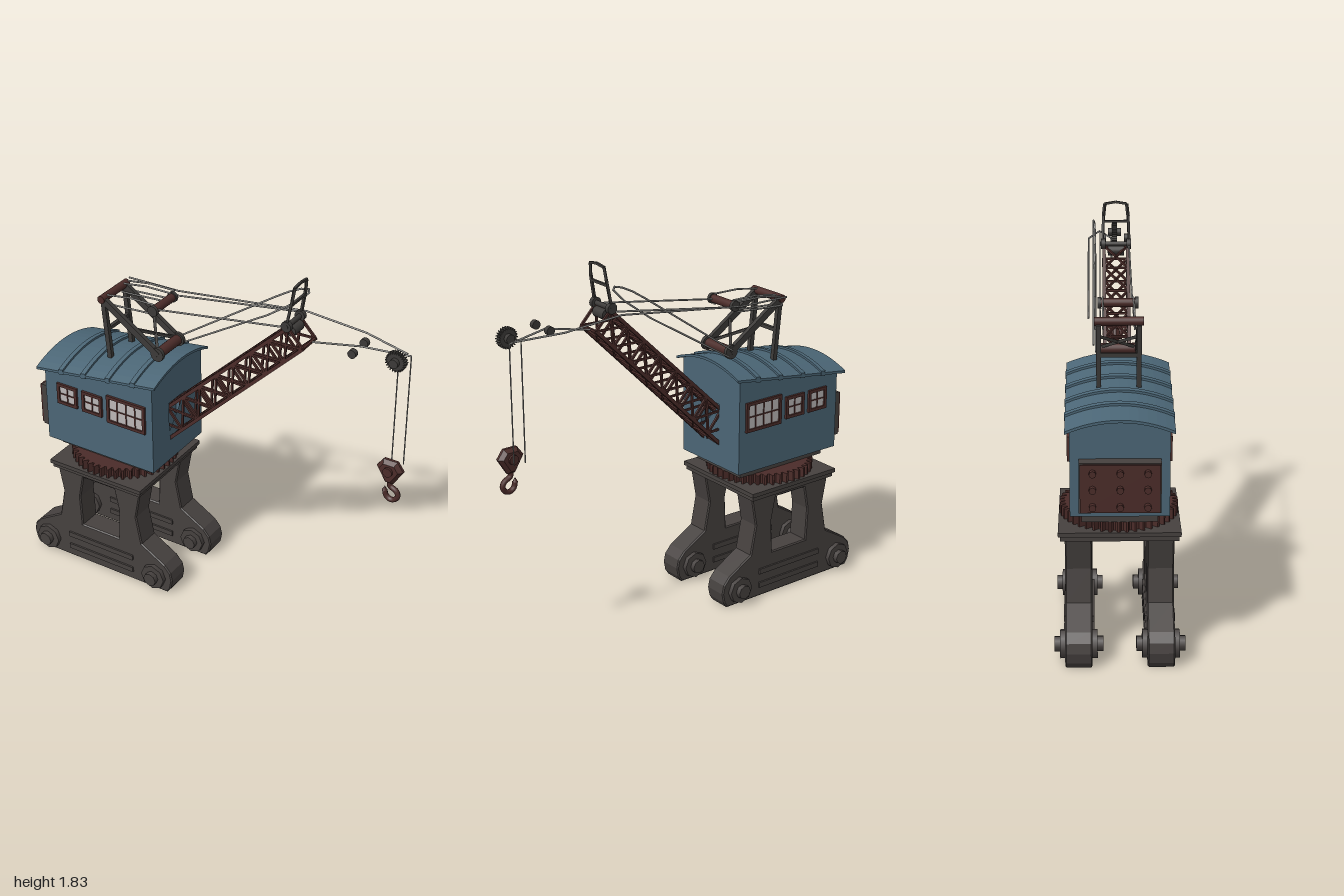
import * as THREE from 'three';

const mat = (name, color) => Object.assign(new THREE.MeshStandardMaterial({ color }), { name });

export function createModel() {
  const M = {
    blue: mat('cabin blue', 0x4b6676),
    iron: mat('dark iron', 0x46413f),
    red: mat('rust red', 0x4b2c29),
    steel: mat('frame steel', 0x3c3a38),
    rope: mat('rope grey', 0x868684),
    glass: mat('window glass', 0xbbb7b7),
  };
  const root = new THREE.Group();
  root.name = 'harborCrane';
  const V = (x, y, z) => new THREE.Vector3(x, y, z);
  const group = (name) => { const g = new THREE.Group(); g.name = name; root.add(g); return g; };
  const add = (parent, name, geo, m, x = 0, y = 0, z = 0) => {
    const mesh = new THREE.Mesh(geo, m);
    mesh.name = name;
    mesh.position.set(x, y, z);
    parent.add(mesh);
    return mesh;
  };
  const box = (p, name, m, x0, x1, y0, y1, z0, z1) =>
    add(p, name, new THREE.BoxGeometry(x1 - x0, y1 - y0, z1 - z0), m, (x0 + x1) / 2, (y0 + y1) / 2, (z0 + z1) / 2);
  // any z-aligned geometry laid between two points
  const span = (p, name, m, geo, a, b) => {
    const mesh = add(p, name, geo, m);
    mesh.position.addVectors(a, b).multiplyScalar(0.5);
    mesh.lookAt(b);
  };
  const bar = (p, name, m, a, b, w, h = w) => span(p, name, m, new THREE.BoxGeometry(w, h, a.distanceTo(b)), a, b);
  const rod = (r, len, sides) => new THREE.CylinderGeometry(r, r, len, sides).rotateX(Math.PI / 2);
  const disc = (p, name, m, x, y, z, r, len, sides = 16) => add(p, name, rod(r, len, sides), m, x, y, z);
  const shape = (pts) => new THREE.Shape(pts.map(([x, y]) => new THREE.Vector2(x, y)));
  const gear = (r, inner, teeth, depth) => {
    const pts = [];
    for (let i = 0; i < teeth * 4; i++) {
      const a = (i / (teeth * 4)) * Math.PI * 2, q = i % 4 < 2 ? r : inner;
      pts.push([Math.cos(a) * q, Math.sin(a) * q]);
    }
    return new THREE.ExtrudeGeometry(shape(pts), { depth, bevelEnabled: false }).translate(0, 0, -depth / 2);
  };

  // ---- Portal legs (outline counter-clockwise, opening clockwise)
  const CX = -0.565;
  const half = [[0.255, 0.56], [0.225, 0.4], [0.255, 0.245], [0.39, 0.165], [0.425, 0.125], [0.435, 0.08], [0.425, 0.03], [0.405, 0]];
  const outline = [...half, ...half.map(([x, y]) => [-x, y]).reverse()].reverse();
  const hole = [[0.095, 0.525], [0.12, 0.4], [0.112, 0.228]];
  for (const s of [1, -1]) {
    const leg = group(s > 0 ? 'leftLeg' : 'rightLeg');
    const sh = shape(outline);
    sh.holes.push(new THREE.Path([...hole, ...hole.map(([x, y]) => [-x, y]).reverse()].map((q) => new THREE.Vector2(...q))));
    const geo = new THREE.ExtrudeGeometry(sh, { depth: 0.11, bevelThickness: 0.006, bevelSize: 0.006, bevelOffset: -0.006, bevelSegments: 1 });
    add(leg, 'legFrame', geo.translate(0, 0, -0.055), M.iron, CX, 0, s * 0.184);
    for (const side of [1, -1]) {
      for (const dx of [-0.33, 0.33]) {
        disc(leg, 'boltFlange', M.iron, CX + dx, 0.08, s * 0.184 + side * 0.07, 0.068, 0.028, 8);
        disc(leg, 'boltHub', M.iron, CX + dx, 0.08, s * 0.184 + side * 0.092, 0.036, 0.036, 8);
      }
      for (const y of [0.065, 0.14])
        box(leg, 'footRib', M.iron, CX - 0.2, CX + 0.2, y - 0.014, y + 0.014, s * 0.184 + side * 0.064 - 0.006, s * 0.184 + side * 0.064 + 0.006);
    }
  }

  // ---- Platform and slewing ring
  const base = group('platform');
  box(base, 'lowerPlate', M.iron, CX - 0.265, CX + 0.265, 0.55, 0.573, -0.265, 0.265);
  box(base, 'upperPlate', M.iron, CX - 0.275, CX + 0.275, 0.573, 0.594, -0.275, 0.275);
  add(base, 'slewingGear', gear(0.272, 0.247, 44, 0.05).rotateX(Math.PI / 2), M.red, CX, 0.62, 0);
  box(base, 'turntable', M.iron, CX - 0.27, CX + 0.27, 0.645, 0.692, -0.17, 0.17);

  // ---- Cabin with curved sloping roof
  const cabin = group('cabin');
  const ridge = (x) => 1.245 + 0.137 * (x + 0.215);
  // slab following the roof curve; bottom null means it reaches the cabin floor
  const arched = (x0, x1, w, top, bottom, slot) => {
    const arc = (off) => Array.from({ length: 13 }, (_, i) => {
      const z = -w + (2 * w * i) / 12;
      return [z, off - 0.052 * (z / 0.24) ** 2];
    });
    const low = bottom === null ? [[w, -9], [-w, -9]] : arc(bottom).reverse();
    const sh = shape([...arc(top), ...low].reverse());
    if (slot) sh.holes.push(new THREE.Path(slot.map((q) => new THREE.Vector2(...q))));
    const geo = new THREE.ExtrudeGeometry(sh, { depth: x1 - x0, bevelEnabled: false });
    geo.rotateY(Math.PI / 2).translate(x0, 0, 0);
    const p = geo.attributes.position;
    for (let i = 0; i < p.count; i++) p.setY(i, p.getY(i) < -5 ? 0.69 : p.getY(i) + ridge(p.getX(i)));
    geo.computeVertexNormals();
    return geo;
  };
  const slot = [[-0.074, -0.455], [-0.074, -0.225], [0.074, -0.225], [0.074, -0.455]];
  add(cabin, 'cabinBody', arched(-0.88, -0.3, 0.22, -0.008, null), M.blue);
  add(cabin, 'cabinFrontWall', arched(-0.3, -0.242, 0.22, -0.008, null, slot), M.blue);
  add(cabin, 'roof', arched(-0.918, -0.213, 0.24, 0, -0.013), M.blue);
  for (const x of [-0.765, -0.63, -0.485, -0.34]) add(cabin, 'roofRib', arched(x - 0.013, x + 0.013, 0.242, 0.011, -0.016), M.blue);

  // windows: glass sheet, frame and glazing bars on both sides
  const windows = [[-0.797, -0.693, 0.928, 1.027, 2], [-0.647, -0.543, 0.928, 1.027, 2], [-0.497, -0.288, 0.913, 1.05, 4]];
  for (const s of [1, -1]) for (const [x0, x1, y0, y1, cols] of windows) {
    const w = new THREE.Group();
    w.name = 'window';
    cabin.add(w);
    const zb = (d) => (s > 0 ? [0.219, 0.22 + d] : [-0.22 - d, -0.219]);
    box(w, 'glass', M.glass, x0, x1, y0, y1, ...zb(0.004));
    for (const x of [x0, x1]) box(w, 'frameSide', M.red, x - 0.008, x + 0.008, y0 - 0.008, y1 + 0.008, ...zb(0.012));
    for (const y of [y0, y1]) box(w, 'frameRail', M.red, x0, x1, y - 0.008, y + 0.008, ...zb(0.012));
    box(w, 'glazingBar', M.red, x0, x1, (y0 + y1) / 2 - 0.003, (y0 + y1) / 2 + 0.003, ...zb(0.008));
    for (let i = 1; i < cols; i++) {
      const x = x0 + ((x1 - x0) * i) / cols;
      box(w, 'glazingBar', M.red, x - 0.003, x + 0.003, y0, y1, ...zb(0.008));
    }
  }

  // counterweight with bolts
  const weight = group('counterweight');
  box(weight, 'weightBlock', M.iron, -0.94, -0.87, 0.73, 0.96, -0.18, 0.18);
  box(weight, 'weightPlate', M.red, -0.952, -0.935, 0.735, 0.955, -0.175, 0.175);
  for (const y of [0.765, 0.845, 0.92]) for (const z of [-0.12, 0, 0.12])
    add(weight, 'weightBolt', new THREE.CylinderGeometry(0.016, 0.016, 0.024, 8).rotateZ(Math.PI / 2), M.red, -0.963, y, z);

  // ---- Lattice boom, its foot set in the cabin slot
  const boom = group('boom');
  const BZ = 0.059, bays = 8;
  const lower = (t, z) => V(-0.27 + 0.75 * t, 0.787 + 0.743 * t, z);
  const upper = (t, z) => V(-0.355 + 0.755 * t, 0.89 + 0.725 * t, z);
  const chords = [(t) => lower(t, BZ), (t) => upper(t, BZ), (t) => upper(t, -BZ), (t) => lower(t, -BZ)];
  chords.forEach((c, k) => {
    const n = chords[(k + 1) % 4];
    bar(boom, 'chord', M.red, c(0), c(1), 0.017);
    for (let i = 0; i <= bays; i++) {
      bar(boom, 'rung', M.red, c(i / bays), n(i / bays), 0.011);
      if (i === bays) continue;
      bar(boom, 'brace', M.red, c(i / bays), n((i + 1) / bays), 0.01);
      bar(boom, 'brace', M.red, n(i / bays), c((i + 1) / bays), 0.01);
    }
  });

  // boom head: sheaves and guide hoop
  const head = group('boomHead');
  disc(head, 'headAxle', M.steel, 0.397, 1.625, 0, 0.012, 0.15);
  for (const z of [-0.063, 0.063]) disc(head, 'headSheave', M.steel, 0.397, 1.625, z, 0.026, 0.022);
  disc(head, 'middleSheave', M.steel, 0.405, 1.59, 0, 0.026, 0.08);
  for (const s of [1, -1]) {
    bar(head, 'hoopLeg', M.steel, V(0.397, 1.63, s * 0.066), V(0.42, 1.76, s * 0.061), 0.012);
    bar(head, 'hoopLeg', M.steel, V(0.42, 1.76, s * 0.061), V(0.427, 1.82, s * 0.054), 0.012);
    bar(head, 'hoopTop', M.steel, V(0.427, 1.82, s * 0.056), V(0.43, 1.829, 0), 0.011);
  }
  bar(head, 'hoopRail', M.steel, V(0.415, 1.735, -0.06), V(0.415, 1.735, 0.06), 0.012);

  // ---- A-frame on the roof
  const frame = group('aFrame');
  for (const z of [-0.09, 0.09]) {
    bar(frame, 'rearPost', M.steel, V(-0.597, 1.5, z), V(-0.565, 1.17, z), 0.022, 0.024);
    bar(frame, 'frontStrut', M.steel, V(-0.605, 1.5, z), V(-0.285, 1.283, z), 0.022, 0.034);
    bar(frame, 'strutBrace', M.steel, V(-0.43, 1.383, z), V(-0.29, 1.29, -z), 0.014);
  }
  disc(frame, 'topDrum', M.red, -0.6, 1.5, 0, 0.02, 0.22);
  bar(frame, 'postRail', M.steel, V(-0.58, 1.34, -0.09), V(-0.58, 1.34, 0.09), 0.018);
  disc(frame, 'lowerDrum', M.red, -0.29, 1.285, 0, 0.026, 0.16);
  for (const z of [-0.09, 0.09]) disc(frame, 'drumCheek', M.steel, -0.29, 1.285, z, 0.036, 0.018);
  disc(frame, 'floatingDrum', M.red, -0.315, 1.51, 0, 0.021, 0.16);
  for (const z of [-0.085, 0.085]) disc(frame, 'floatingSheave', M.steel, -0.315, 1.51, z, 0.027, 0.016);

  // ---- Ropes, each a chain of thin rods
  const ropes = group('ropes');
  const rope = (name, pts, r = 0.0045) => pts.slice(1).forEach((q, i) => {
    const a = V(...pts[i]), b = V(...q);
    span(ropes, name, M.rope, rod(r, a.distanceTo(b) + r, 14), a, b);
  });
  for (const z of [-0.105, -0.07, 0.07])
    rope('suspensionLoop', [[-0.315, 1.485, z], [-0.6, 1.465, z], [-0.61, 1.51, z], [-0.46, 1.533, z], [-0.32, 1.535, z]]);
  for (const z of [-0.105, 0.065]) rope('suspensionRope', [[-0.315, 1.51, z], [0.397, 1.62, z]]);
  rope('upperHoistRope', [[-0.28, 1.3, -0.112], [0.24, 1.655, -0.112], [0.31, 1.7, -0.112], [0.37, 1.73, -0.112], [0.41, 1.74, -0.11], [0.415, 1.725, -0.105]]);
  rope('lowerHoistRope', [[-0.27, 1.265, -0.102], [0.2, 1.55, -0.102], [0.35, 1.66, -0.102], [0.415, 1.725, -0.105]]);
  rope('backRope', [[-0.6, 1.515, -0.135], [-0.315, 1.52, -0.135], [0.39, 1.61, -0.135]]);
  rope('outerRope', [[0.39, 1.61, -0.135], [0.7, 1.587, -0.135], [0.93, 1.575, -0.08]]);
  rope('innerRope', [[0.48, 1.53, -0.02], [0.73, 1.582, -0.02], [0.95, 1.57, -0.077]]);
  for (const x of [0.892, 0.952]) rope('dropRope', [[x, 1.57, -0.077], [x, 1, -0.077]], 0.003);
  for (const z of [-0.058, 0.058]) disc(ropes, 'guidePulley', M.steel, 0.73, 1.583, z, 0.021, 0.024);

  // ---- Tip sheave and hook block
  const hook = group('hookAssembly');
  add(hook, 'tipSheave', gear(0.05, 0.04, 24, 0.028), M.steel, 0.917, 1.573, 0);
  disc(hook, 'tipHub', M.steel, 0.917, 1.573, 0, 0.022, 0.07);
  const block = [[0.035, 1.055], [0.068, 1.01], [0.02, 0.932], [-0.02, 0.932], [-0.068, 1.01], [-0.035, 1.055]];
  const blockGeo = new THREE.ExtrudeGeometry(shape(block.reverse()), { depth: 0.014, bevelThickness: 0.02, bevelSize: 0.016, bevelOffset: -0.016, bevelSegments: 1 });
  add(hook, 'hookBlock', blockGeo.translate(0, 0, -0.007), M.red, 0.925, 0, 0);
  disc(hook, 'blockPin', M.red, 0.925, 1.005, 0, 0.024, 0.078, 10);
  const curve = new THREE.CatmullRomCurve3(
    [[0.925, 0.945], [0.927, 0.915], [0.96, 0.895], [0.97, 0.87], [0.953, 0.845], [0.928, 0.842], [0.909, 0.858], [0.903, 0.882]].map(([x, y]) => V(x, y, 0)));
  add(hook, 'hook', new THREE.TubeGeometry(curve, 28, 0.013, 8), M.red);
  add(hook, 'hookTip', new THREE.ConeGeometry(0.014, 0.025, 8), M.red, 0.902, 0.893, 0);
  return root;
}
